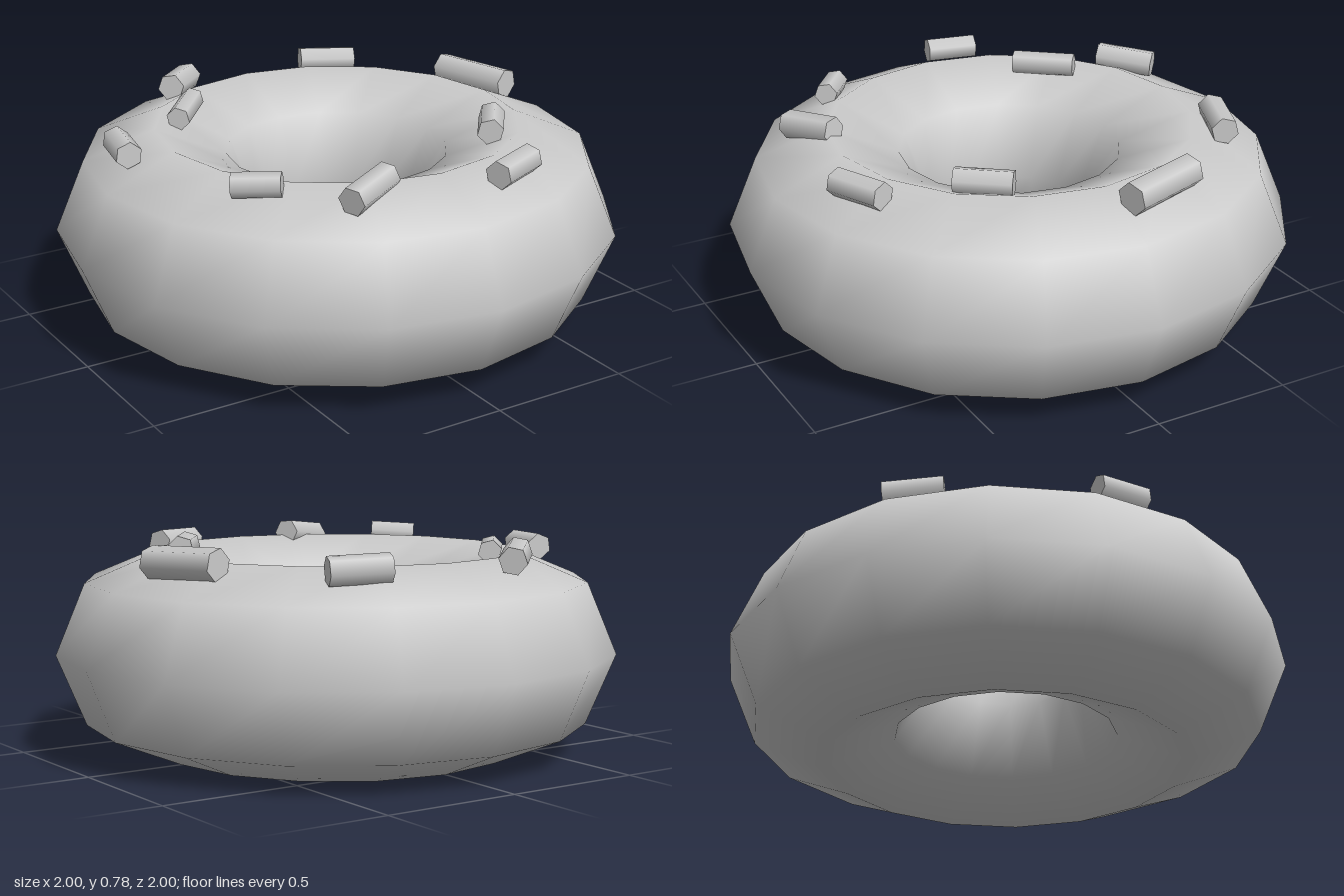
import * as THREE from 'three';

const RING = 0.645; // radius of the ring's centre line
const TUBE = 0.355; // radius of the ring's section

// x, y, z of the centre, direction along x and z, length, width
const SPRINKLES = [
  [-0.28, 0.72, -0.66, 27, -28, 0.21, 0.1],
  [0.355, 0.71, -0.645, 37, 14, 0.21, 0.1],
  [0.72, 0.71, -0.165, 17, 53, 0.3, 0.115],
  [-0.405, 0.715, -0.375, 28, -33, 0.23, 0.085],
  [-0.76, 0.7, -0.16, -7, 35, 0.185, 0.095],
  [-0.57, 0.715, 0.43, 24, 18, 0.165, 0.085],
  [-0.275, 0.71, 0.64, 36, -17, 0.215, 0.1],
  [0.255, 0.7, 0.7, 35, -15, 0.205, 0.1],
  [0.43, 0.715, 0.335, -23, 30, 0.2, 0.095],
];

export function createModel() {
  const model = new THREE.Group();
  model.name = 'doughnut';
  const material = new THREE.MeshStandardMaterial({ color: 0xcccccc });

  // Low-sided, smoothly shaded ring lying flat
  const ringGeometry = new THREE.TorusGeometry(RING, TUBE, 8, 16);
  ringGeometry.rotateX(-Math.PI / 2);
  const ring = new THREE.Mesh(ringGeometry, material);
  ring.name = 'doughRing';
  ring.position.y = TUBE;
  model.add(ring);

  // Six-sided sprinkles lying along the ring's upper surface
  const sprinkles = new THREE.Group();
  sprinkles.name = 'sprinkles';
  for (const [x, y, z, dx, dz, length, width] of SPRINKLES) {
    const r = Math.hypot(x, z);
    const lean = Math.asin((r - RING) / TUBE);
    const normal = new THREE.Vector3(
      (x / r) * Math.sin(lean), Math.cos(lean), (z / r) * Math.sin(lean));
    const axis = new THREE.Vector3(dx, 0, dz).projectOnPlane(normal).normalize();
    const side = new THREE.Vector3().crossVectors(normal, axis);

    const geometry = new THREE.CylinderGeometry(width / 2, width / 2, length, 6);
    const sprinkle = new THREE.Mesh(geometry, material);
    sprinkle.name = 'sprinkle';
    sprinkle.quaternion.setFromRotationMatrix(
      new THREE.Matrix4().makeBasis(normal, axis, side));
    sprinkle.position.set(x, y, z);
    sprinkles.add(sprinkle);
  }
  model.add(sprinkles);
  return model;
}
